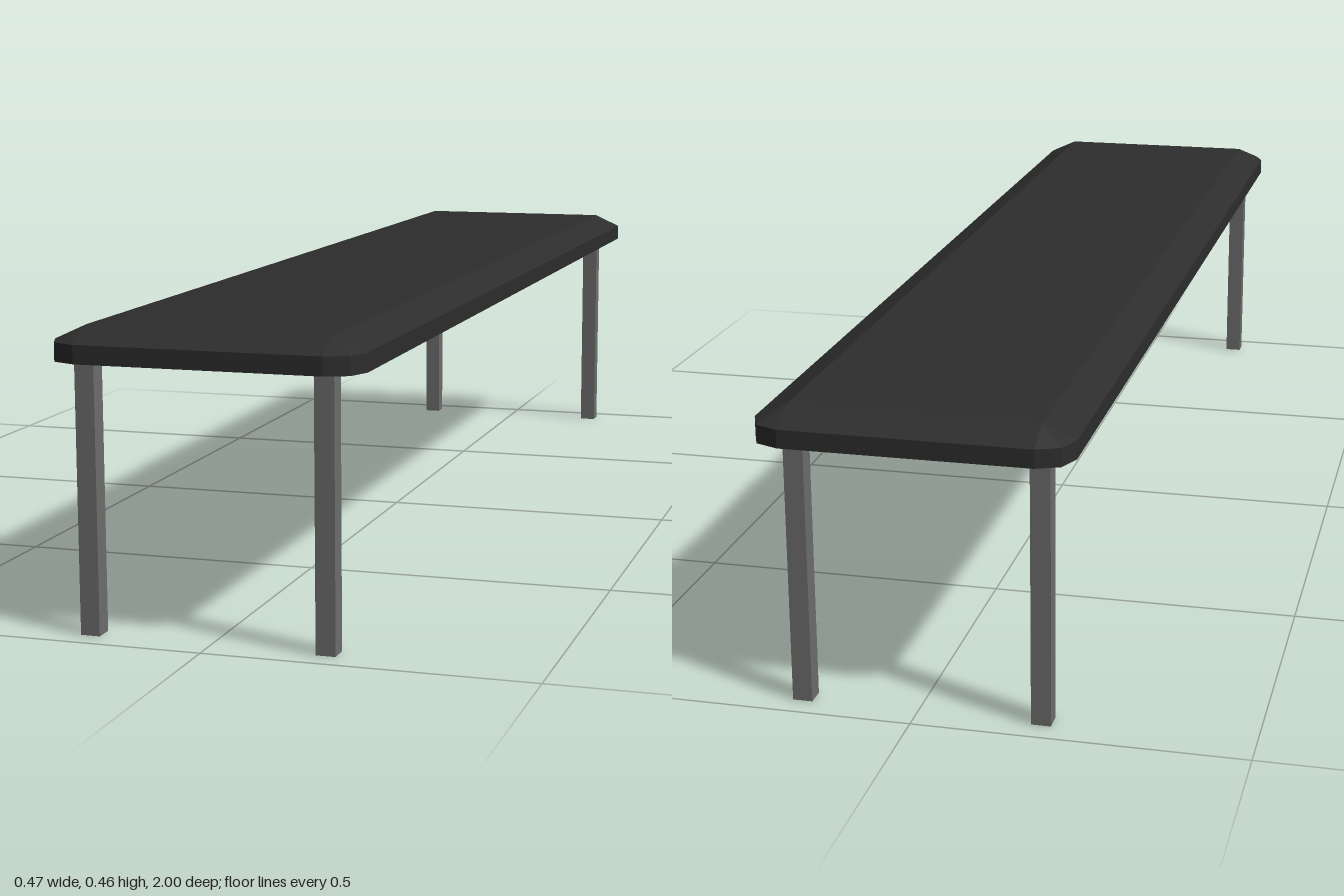
import * as THREE from 'three';
import { ConvexGeometry } from 'three/addons/geometries/ConvexGeometry.js';

export function createModel() {
  const group = new THREE.Group();
  const seatMaterial = new THREE.MeshStandardMaterial({ color: 0x2d2d2d });
  seatMaterial.name = 'charcoal';
  const legMaterial = new THREE.MeshStandardMaterial({ color: 0x6e6e6e });
  legMaterial.name = 'grey metal';

  // Seat: slab with two-facet corners, bevelled up to a smaller flat top
  const halfX = 0.237, halfZ = 1, radius = 0.05;
  const points = [];
  for (const sx of [-1, 1]) {
    for (const sz of [-1, 1]) {
      const cx = halfX - radius, cz = halfZ - radius;
      for (let i = 0; i <= 2; i++) {
        const a = (i * Math.PI) / 4;
        const x = sx * (cx + radius * Math.cos(a));
        const z = sz * (cz + radius * Math.sin(a));
        points.push(new THREE.Vector3(x, 0.41, z), new THREE.Vector3(x, 0.438, z));
      }
      points.push(new THREE.Vector3(sx * cx, 0.461, sz * cz));
    }
  }
  const seat = new THREE.Mesh(new ConvexGeometry(points), seatMaterial);
  seat.name = 'seat';
  group.add(seat);

  // Four square legs, set slightly towards -x
  const legGeometry = new THREE.BoxGeometry(0.03, 0.41, 0.03);
  for (const [side, x] of [['Left', 0.177], ['Right', -0.187]]) {
    for (const [end, z] of [['front', 0.948], ['back', -0.948]]) {
      const leg = new THREE.Mesh(legGeometry, legMaterial);
      leg.name = `${end}${side}Leg`;
      leg.position.set(x, 0.205, z);
      group.add(leg);
    }
  }
  return group;
}
